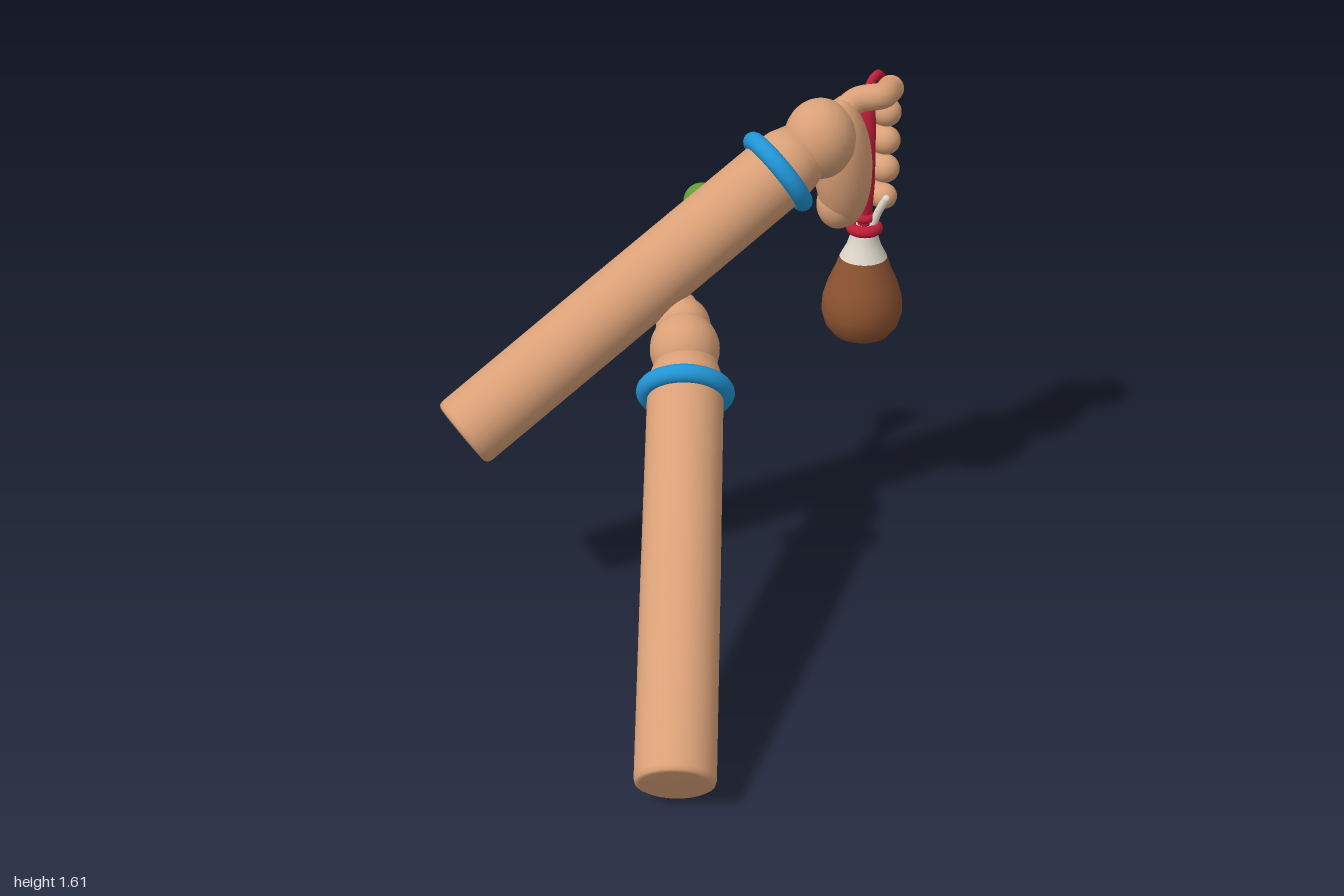
import * as THREE from 'three';

const V = (x, y, z) => new THREE.Vector3(x, y, z);
const UP = V(0, 1, 0);
const mat = (name, color) => {
  const m = new THREE.MeshStandardMaterial({ color });
  m.name = name;
  return m;
};

export function createModel() {
  const skin = mat('skin', 0xd9a077);
  const blue = mat('blue', 0x2196d6);
  const red = mat('red', 0xbe1e38);
  const brown = mat('brown', 0x8c5230);
  const cream = mat('cream', 0xddd7ca);
  const green = mat('green', 0x629c34);

  const model = new THREE.Group();
  model.name = 'armsWithGourdAndWand';

  const add = (parent, name, geometry, material, pos = V(0, 0, 0), dir) => {
    const m = new THREE.Mesh(geometry, material);
    m.name = name;
    m.position.copy(pos);
    if (dir) m.quaternion.setFromUnitVectors(UP, dir.clone().normalize());
    parent.add(m);
    return m;
  };
  const group = (name) => {
    const g = new THREE.Group();
    g.name = name;
    model.add(g);
    return g;
  };
  const blob = (parent, name, material, pos, radii, dir) => {
    const m = add(parent, name, new THREE.SphereGeometry(1, 28, 20), material, pos, dir);
    m.scale.set(...radii);
    return m;
  };
  // Round-ended tube through a few points
  const limb = (parent, name, material, pts, r) => {
    const g = new THREE.Group();
    g.name = name;
    parent.add(g);
    const curve = new THREE.CatmullRomCurve3(pts);
    add(g, name + 'Shaft', new THREE.TubeGeometry(curve, 20, r, 14), material);
    for (const p of [pts[0], pts[pts.length - 1]]) blob(g, name + 'End', material, p, [r, r, r]);
  };
  const lathe = (pts, seg = 40) =>
    new THREE.LatheGeometry(pts.map(([r, y]) => new THREE.Vector2(r, y)), seg);

  // Forearm with wristband
  const forearm = (parent, elbow, wrist) => {
    const dir = wrist.clone().sub(elbow);
    const L = dir.length();
    add(parent, 'forearm', lathe([[0, 0], [0.106, 0], [0.117, 0.006], [0.121, 0.02],
      [0.121, L * 0.5], [0.119, L], [0.112, L + 0.06], [0.09, L + 0.13], [0, L + 0.16]]), skin, elbow, dir);
    const ring = new THREE.TorusGeometry(0.124, 0.03, 16, 48);
    ring.rotateX(Math.PI / 2);
    add(parent, 'wristband', ring, blue, wrist, dir);
  };

  // Upper arm, gripping the gourd
  const upper = group('upperArm');
  forearm(upper, V(-0.58, 0.67, 0.39), V(0, 1.38, -0.52));
  blob(upper, 'wrist', skin, V(0.08, 1.47, -0.64), [0.115, 0.13, 0.115]);
  blob(upper, 'palm', skin, V(0.115, 1.36, -0.725), [0.092, 0.225, 0.1], V(0, 1, 0.12));
  blob(upper, 'palmHeel', skin, V(0.1, 1.22, -0.73), [0.07, 0.085, 0.075]);
  for (let i = 0; i < 4; i++) {
    const y = 1.19 + i * 0.098;
    limb(upper, 'finger', skin, [V(0.085, y + 0.01, -0.75), V(0.045, y + 0.005, -0.85),
      V(0.09, y, -0.922), V(0.16, y, -0.918)], 0.047 - (i === 0 ? 0.005 : 0));
  }
  limb(upper, 'thumb', skin, [V(0.1, 1.5, -0.68), V(0.13, 1.565, -0.77),
    V(0.195, 1.58, -0.82), V(0.18, 1.575, -0.9)], 0.043);

  // Gourd with bound neck, handle and loop
  const gourd = group('gourd');
  const axis = V(0.12, 0, -0.865);
  add(gourd, 'gourdBody', lathe([[0, 0.7], [0.06, 0.7], [0.095, 0.71], [0.121, 0.745], [0.134, 0.79],
    [0.131, 0.84], [0.116, 0.89], [0.092, 0.945], [0.078, 0.985]]), brown, axis);
  add(gourd, 'gourdNeck', lathe([[0.078, 0.985], [0.057, 1.025], [0.046, 1.06], [0.042, 1.1], [0, 1.1]]), cream, axis);
  for (const [y, R, t] of [[1.088, 0.042, 0.019], [1.125, 0.018, 0.016]]) {
    const ring = new THREE.TorusGeometry(R, t, 12, 32);
    ring.rotateX(Math.PI / 2);
    add(gourd, 'neckBinding', ring, red, axis.clone().setY(y));
  }
  add(gourd, 'handle', lathe([[0, 1.08], [0.022, 1.1], [0.03, 1.25], [0.028, 1.45], [0.02, 1.56], [0, 1.57]], 16), red, axis);
  limb(gourd, 'strap', cream, [V(0.145, 1.09, -0.87), V(0.165, 1.15, -0.875), V(0.19, 1.2, -0.88)], 0.013);
  limb(gourd, 'cordLoop', red, [V(0.12, 1.53, -0.855), V(0.125, 1.59, -0.865), V(0.13, 1.613, -0.9),
    V(0.125, 1.58, -0.94), V(0.12, 1.52, -0.94)], 0.014);

  // Lower arm, holding the wand
  const lower = group('lowerArm');
  forearm(lower, V(0.58, 0.105, 0.91), V(0, 0.82, 0));
  blob(lower, 'wrist', skin, V(-0.07, 0.91, -0.1), [0.11, 0.118, 0.11]);
  blob(lower, 'palm', skin, V(-0.12, 0.945, -0.165), [0.088, 0.1, 0.085]);
  for (let i = 0; i < 4; i++) {
    const k = i / 3;
    limb(lower, 'finger', skin, [V(-0.1 - k * 0.03, 1.0 - k * 0.09, -0.17), V(-0.15 - k * 0.03, 1.0 - k * 0.1, -0.22),
      V(-0.195 - k * 0.025, 0.965 - k * 0.1, -0.24), V(-0.19 - k * 0.025, 0.915 - k * 0.055, -0.2)], 0.033);
  }
  limb(lower, 'thumb', skin, [V(-0.09, 0.9, -0.15), V(-0.12, 0.89, -0.23), V(-0.16, 0.885, -0.275)], 0.036);

  // Wand with berry tip
  const wand = group('wand');
  const base = V(-0.19, 0.95, -0.16), tip = V(-0.31, 1.18, -0.54);
  const shaft = tip.clone().sub(base);
  add(wand, 'wandShaft', new THREE.CylinderGeometry(0.024, 0.033, shaft.length(), 20), skin,
    base.clone().lerp(tip, 0.5), shaft);
  for (const [x, y, z, r] of [[-0.315, 1.185, -0.56, 0.06], [-0.27, 1.21, -0.597, 0.026], [-0.31, 1.112, -0.56, 0.03]])
    blob(wand, 'berry', green, V(x, y, z), [r, r, r]);

  return model;
}
